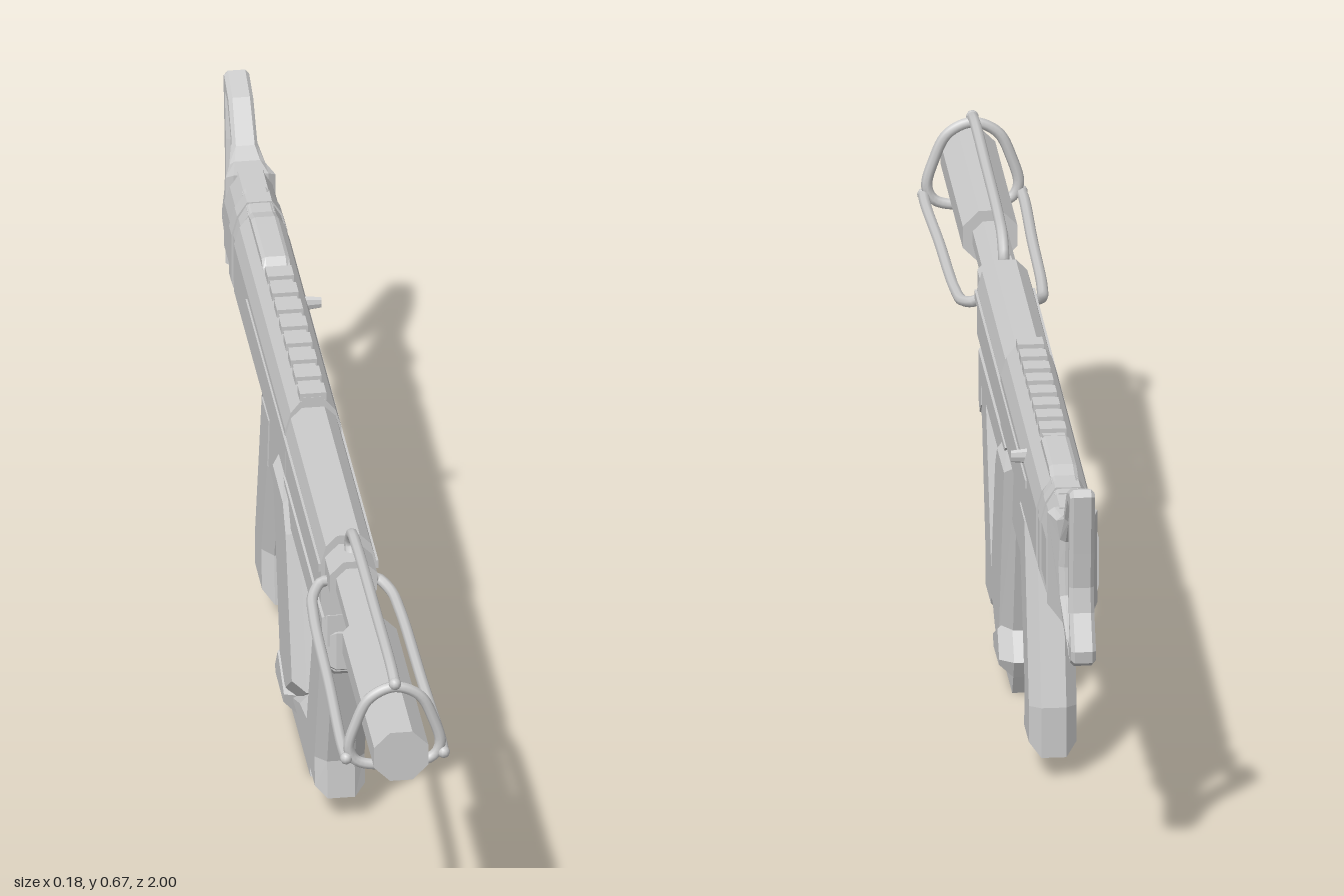
import * as THREE from 'three';

const flat = new THREE.MeshStandardMaterial({ color: 0xcccccc, flatShading: true });
const smooth = new THREE.MeshStandardMaterial({ color: 0xcccccc });

export function createModel() {
  const model = new THREE.Group();
  const add = (name, geometry, material = flat) => {
    const mesh = new THREE.Mesh(geometry, material);
    mesh.name = name;
    model.add(mesh);
    return mesh;
  };
  const vecs = pts => pts.map(p => new THREE.Vector2(p[0], p[1]));

  // Side outline of [z, y] points, extruded across x with chamfered edges
  const plate = (outline, halfWidth, chamferX, chamferIn, hole) => {
    const shape = new THREE.Shape(vecs(outline));
    if (hole) shape.holes.push(new THREE.Path(vecs(hole)));
    const depth = 2 * (halfWidth - chamferX);
    const g = new THREE.ExtrudeGeometry(shape, {
      depth, bevelEnabled: chamferX > 0, bevelSegments: 1,
      bevelThickness: chamferX, bevelSize: chamferIn, bevelOffset: -chamferIn,
    });
    return g.translate(0, 0, -depth / 2).rotateY(-Math.PI / 2);
  };

  // Mirrored cross-section of [x, y] points, extruded along z
  const beam = (half, z0, z1) => {
    const mirrored = half.map(([x, y]) => [-x, y]).reverse();
    const g = new THREE.ExtrudeGeometry(new THREE.Shape(vecs([...half, ...mirrored])),
      { depth: z1 - z0, bevelEnabled: false });
    return g.translate(0, 0, z0);
  };

  const box = (w, h, d, x, y, z) => new THREE.BoxGeometry(w, h, d).translate(x, y, z);
  const rod = (r, z0, z1, y, sides = 8) =>
    new THREE.CylinderGeometry(r, r, z1 - z0, sides).rotateY(Math.PI / 8)
      .rotateX(Math.PI / 2).translate(0, y, (z0 + z1) / 2);

  // Receiver
  add('frontReceiver', beam([[0.034, 0.4], [0.044, 0.44], [0.044, 0.515],
    [0.036, 0.545], [0.018, 0.563]], -0.06, 0.37));
  add('rearReceiver', beam([[0.034, 0.405], [0.045, 0.44], [0.045, 0.525],
    [0.036, 0.555], [0.02, 0.575]], -0.66, -0.05));
  add('receiverTail', beam([[0.032, 0.41], [0.042, 0.445], [0.042, 0.525],
    [0.034, 0.555], [0.02, 0.578]], -0.8, -0.66));
  add('tailBand', beam([[0.034, 0.405], [0.045, 0.44], [0.045, 0.525],
    [0.036, 0.558], [0.02, 0.582]], -0.72, -0.69));
  for (const s of [-1, 1]) {
    add('sideRib', box(0.008, 0.014, 0.87, s * 0.044, 0.507, -0.065));
  }
  const bolt = new THREE.CylinderGeometry(0.006, 0.008, 0.03, 8)
    .rotateZ(-Math.PI / 2).scale(1, 1.6, 1).translate(0.05, 0.533 - 0, -0.44);
  add('boltHandle', bolt);

  // Top rail
  add('railBase', box(0.036, 0.012, 0.43, 0, 0.575, -0.265));
  for (let i = 0; i < 8; i++) {
    add('railTooth', box(0.042, 0.014, 0.033, 0, 0.581, -0.067 - i * 0.055));
  }
  add('rearSightBase', plate([[-0.48, 0.57], [-0.5, 0.588], [-0.63, 0.588],
    [-0.66, 0.58], [-0.74, 0.58], [-0.74, 0.57]], 0.022, 0.006, 0.004));

  // Shoulder stock: open frame, tapering in from the receiver
  const stock = plate(
    [[-0.79, 0.41], [-0.86, 0.4], [-0.92, 0.382], [-0.97, 0.373], [-0.992, 0.385], [-0.995, 0.405],
      [-0.965, 0.46], [-0.958, 0.5], [-0.965, 0.56], [-0.978, 0.66], [-0.965, 0.669],
      [-0.91, 0.65], [-0.86, 0.59], [-0.835, 0.576], [-0.79, 0.576]],
    0.02, 0.006, 0.006,
    [[-0.855, 0.45], [-0.85, 0.495], [-0.855, 0.54], [-0.885, 0.585], [-0.93, 0.632],
      [-0.948, 0.632], [-0.936, 0.56], [-0.932, 0.49], [-0.962, 0.41], [-0.93, 0.41]]);
  const sp = stock.attributes.position;
  for (let i = 0; i < sp.count; i++) {
    const t = THREE.MathUtils.clamp((sp.getZ(i) + 0.865) / 0.065, 0, 1);
    sp.setX(i, sp.getX(i) * (1 + t));
  }
  stock.computeVertexNormals();
  add('stock', stock);

  // Lower frame and grips
  add('lowerFrame', plate([[0.372, 0.42], [0.372, 0.364], [-0.03, 0.364], [-0.1, 0.42]],
    0.042, 0.008, 0.006));
  add('triggerHousing', plate([[-0.1, 0.42], [-0.1, 0.32], [-0.16, 0.305], [-0.33, 0.305],
    [-0.38, 0.42]], 0.036, 0.012, 0.01));
  add('foreGrip', plate([[0.372, 0.385], [0.372, 0.318], [0.34, 0.302], [0.28, 0.104],
    [0.286, 0.04], [0.168, 0.04], [0.155, 0.055], [-0.02, 0.05], [-0.02, 0.075],
    [0.083, 0.12], [0.158, 0.136], [0.243, 0.366], [0.243, 0.385]], 0.04, 0.018, 0.016));
  add('foreGripNub', plate([[0.378, 0.39], [0.378, 0.325], [0.345, 0.299], [0.31, 0.33],
    [0.31, 0.39]], 0.042, 0.022, 0.014));
  add('rearGrip', plate([[-0.28, 0.42], [-0.297, 0.307], [-0.366, 0.12], [-0.356, 0.036],
    [-0.48, 0.036], [-0.48, 0.12], [-0.4, 0.41], [-0.4, 0.42]], 0.038, 0.018, 0.02));

  // Magazine with flared shoe and foot
  add('magazine', plate([[0.012, 0.37], [-0.03, 0.42], [-0.185, 0.42], [-0.094, 0.09],
    [-0.08, 0.06], [0, 0.06], [0.094, 0.126]], 0.05, 0.02, 0.022));
  add('magazineShoe', plate([[0.02, 0.08], [-0.085, 0.13], [-0.132, 0.068], [-0.115, 0.038],
    [0, 0.035]], 0.053, 0.022, 0.018));
  add('magazineFoot', plate([[0.14, 0.002], [0.125, 0.04], [-0.11, 0.045], [-0.085, 0.002]]
    .map(([z, y]) => [z, y - 0.002]), 0.03, 0, 0));

  // Barrel
  add('barrel', rod(0.03, 0.35, 0.64, 0.508));
  add('barrelCollar', rod(0.041, 0.37, 0.43, 0.51));
  add('muzzle', rod(0.047, 0.62, 1, 0.51));

  // Wire guard: three bent rods joined by a rounded triangular hoop
  const wire = (name, pts, closed, r) => add(name, new THREE.TubeGeometry(
    new THREE.CatmullRomCurve3(pts.map(p => new THREE.Vector3(...p)), closed, 'centripetal'),
    56, r, 8, closed), smooth);
  wire('guardHoop', [[0, 0.592], [0.04, 0.574], [0.062, 0.53], [0.073, 0.485], [0.06, 0.462],
    [0, 0.453], [-0.06, 0.462], [-0.073, 0.485], [-0.062, 0.53], [-0.04, 0.574]]
    .map(([x, y]) => [x, y, 0.92]), true, 0.009);
  const ball = (x, y, z) => add('guardRodEnd',
    new THREE.SphereGeometry(0.01, 10, 8).translate(x, y, z), smooth);
  wire('guardTopRod', [[0, 0.535, 0.4], [0, 0.56, 0.385], [0, 0.588, 0.41], [0, 0.598, 0.47],
    [0, 0.604, 0.7], [0, 0.606, 0.88], [0, 0.6, 0.925]], false, 0.009);
  ball(0, 0.6, 0.925);
  for (const s of [-1, 1]) {
    wire('guardSideRod', [[s * 0.025, 0.5, 0.4], [s * 0.045, 0.49, 0.385], [s * 0.062, 0.481, 0.41],
      [s * 0.069, 0.477, 0.47], [s * 0.074, 0.474, 0.7], [s * 0.079, 0.471, 0.88],
      [s * 0.078, 0.471, 0.925]], false, 0.009);
    ball(s * 0.078, 0.471, 0.925);
  }
  return model;
}
